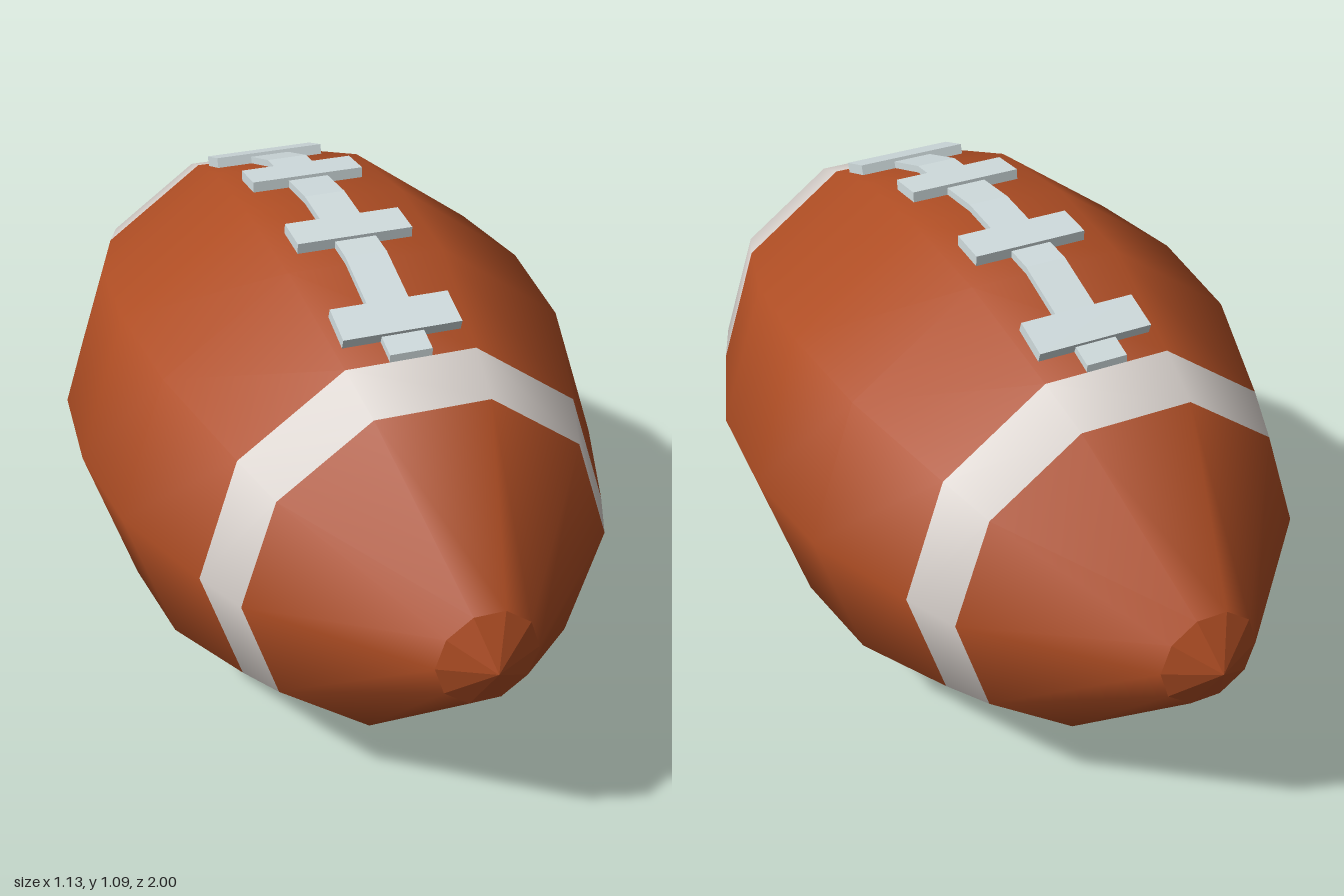
import * as THREE from 'three';

const CY = 0.542; // height of the long axis
const SIDES = 10;
const FLAT = Math.cos(Math.PI / SIDES); // corner radius to flat-side distance

// Half profile: [distance along z, corner radius]
const HALF = [[0, 0.567], [0.26, 0.543], [0.52, 0.447], [0.64, 0.396], [0.945, 0.108], [1, 0]];
const PROFILE = [
  ...HALF.slice(1).reverse().map(([z, r]) => [-z, r]),
  ...HALF,
];

// Ten-sided lathe whose axis lies along z
function latheZ(profile) {
  const points = profile.map(([z, r]) => new THREE.Vector2(r, z));
  return new THREE.LatheGeometry(points, SIDES, Math.PI / 2).rotateX(Math.PI / 2);
}

// Keep only some rings of a lathe so neighbouring parts share smooth normals
function keepRings(geometry, pointCount, rings) {
  const index = geometry.index.array;
  const kept = [];
  for (let i = 0; i < index.length; i += 3) {
    const tri = [index[i], index[i + 1], index[i + 2]];
    const ring = Math.min(...tri.map((v) => v % pointCount));
    if (rings.includes(ring)) kept.push(...tri);
  }
  const part = geometry.clone();
  part.setIndex(kept);
  return part;
}

// Height of the flat top panel at a given z
function topY(z) {
  const a = Math.abs(z);
  const i = a < 0.26 ? 0 : 1;
  const [z0, r0] = HALF[i];
  const [z1, r1] = HALF[i + 1];
  return CY + FLAT * (r0 + ((r1 - r0) * (a - z0)) / (z1 - z0));
}

export function createModel() {
  const group = new THREE.Group();
  const material = (name, color) => {
    const m = new THREE.MeshStandardMaterial({ color });
    m.name = name;
    return m;
  };
  const leather = material('brown leather', 0xb04e24);
  const paint = material('white stripe', 0xdcd5d0);
  const cord = material('pale lace', 0xd0dcde);

  const add = (name, geometry, mat) => {
    const mesh = new THREE.Mesh(geometry, mat);
    mesh.name = name;
    group.add(mesh);
    return mesh;
  };

  // Smooth leather shell and the two painted rings
  const rounded = PROFILE.slice(1, -1);
  const shell = latheZ(rounded);
  const n = rounded.length;
  add('shell', keepRings(shell, n, [0, 2, 3, 4, 5, 7]), leather).position.y = CY;
  add('backStripe', keepRings(shell, n, [1]), paint).position.y = CY;
  add('frontStripe', keepRings(shell, n, [6]), paint).position.y = CY;

  // Faceted end caps
  for (const [name, pair] of [['backTip', PROFILE.slice(0, 2)], ['frontTip', PROFILE.slice(-2)]]) {
    const tip = latheZ(pair).toNonIndexed();
    tip.computeVertexNormals();
    add(name, tip, leather).position.y = CY;
  }

  // Long lace strip that follows the bend of the top panel
  const stops = [-0.52, -0.26, 0, 0.26, 0.52];
  const outline = [
    ...stops.map((z) => new THREE.Vector2(-z, topY(z) - 0.003)),
    ...stops.slice().reverse().map((z) => new THREE.Vector2(-z, topY(z) + 0.016)),
  ];
  const strip = new THREE.ExtrudeGeometry(new THREE.Shape(outline), { depth: 0.09, bevelEnabled: false });
  strip.translate(0, 0, -0.045).rotateY(Math.PI / 2);
  add('laceStrip', strip, cord);

  // Cross laces, tilted to lie on the panel
  for (const z of [-0.43, -0.152, 0.152, 0.43]) {
    const slope = (topY(z + 0.01) - topY(z - 0.01)) / 0.02;
    const bar = add('crossLace', new THREE.BoxGeometry(0.252, 0.026, 0.086), cord);
    bar.position.set(0, topY(z) + 0.01, z);
    bar.rotation.x = -Math.atan(slope);
  }

  return group;
}
